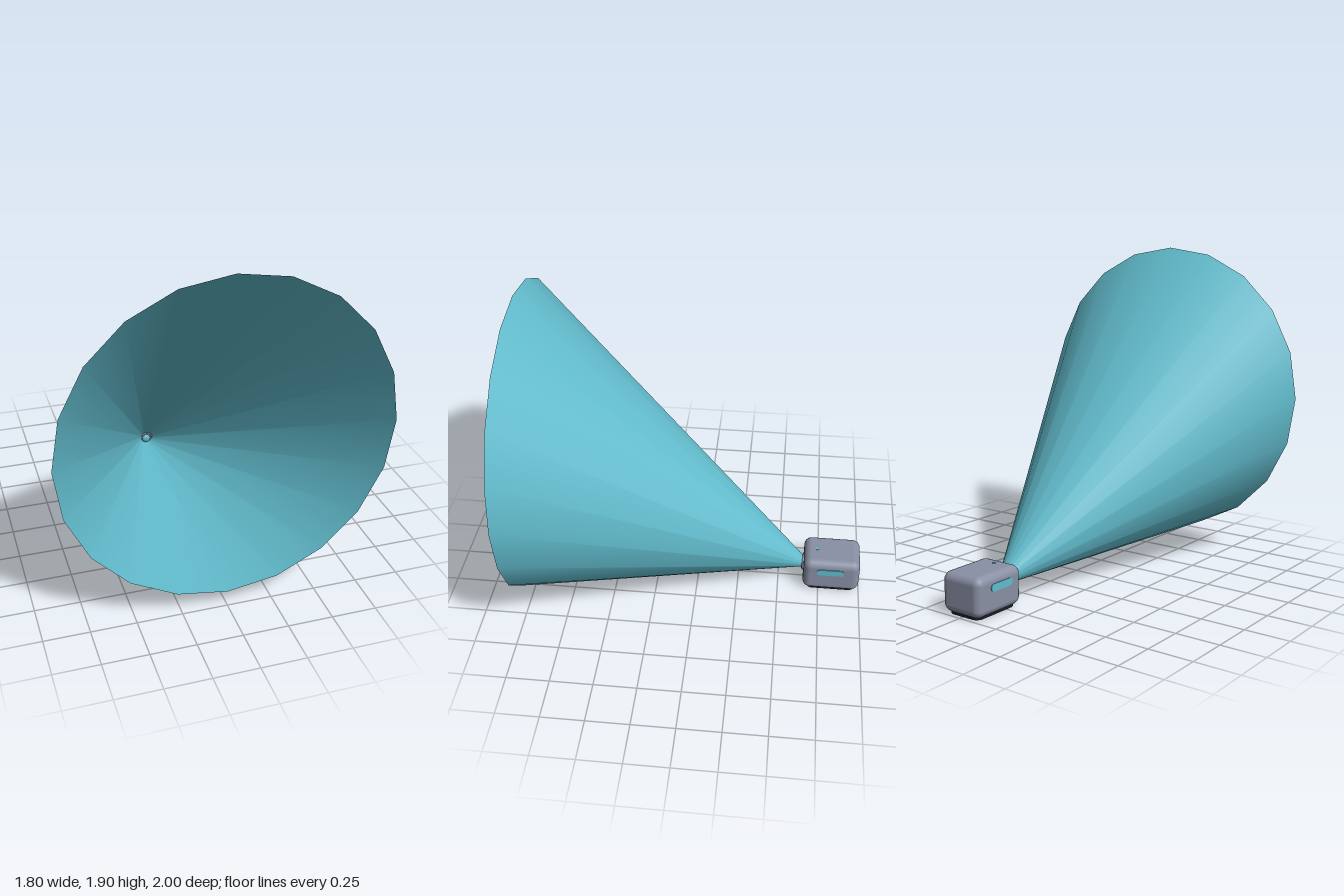
import * as THREE from 'three';
import { RoundedBoxGeometry } from 'three/addons/geometries/RoundedBoxGeometry.js';

const material = (name, color, side = THREE.FrontSide) => {
  const m = new THREE.MeshStandardMaterial({ color, side });
  m.name = name;
  return m;
};

// Rounded rectangle centred on the origin
function roundedRect(w, h, r) {
  const s = new THREE.Shape();
  const x = w / 2 - r, y = h / 2 - r;
  s.absarc(x, y, r, 0, Math.PI / 2);
  s.absarc(-x, y, r, Math.PI / 2, Math.PI);
  s.absarc(-x, -y, r, Math.PI, Math.PI * 1.5);
  s.absarc(x, -y, r, Math.PI * 1.5, Math.PI * 2);
  return s;
}

export function createModel() {
  const group = new THREE.Group();
  const grey = material('casing grey', 0x8a90a5);
  const dark = material('base dark', 0x1c1f28);
  const teal = material('light teal', 0x62bccd, THREE.DoubleSide);

  const add = (name, geometry, mat, x = 0, y = 0, z = 0) => {
    const mesh = new THREE.Mesh(geometry, mat);
    mesh.name = name;
    mesh.position.set(x, y, z);
    group.add(mesh);
    return mesh;
  };

  // Casing: a rounded box, slightly narrower towards the bottom and top
  const casing = new RoundedBoxGeometry(0.27, 0.222, 0.345, 6, 0.045);
  const p = casing.attributes.position;
  for (let i = 0; i < p.count; i++) {
    const t = p.getY(i) / 0.111;
    const k = 1 - (t < 0 ? 0.07 : 0.04) * t * t;
    p.setX(i, p.getX(i) * k);
    p.setZ(i, p.getZ(i) * (1 - 0.02 * t * t));
  }
  add('casing', casing, grey, 0, 0.119, -0.825);

  // Base plate under the casing
  const base = new THREE.ExtrudeGeometry(roundedRect(0.21, 0.3, 0.04), { depth: 0.014, bevelEnabled: false });
  base.rotateX(-Math.PI / 2);
  add('basePlate', base, dark, 0, 0, -0.825);

  // Light strips on both sides
  const strip = new THREE.ExtrudeGeometry(roundedRect(0.165, 0.042, 0.019), { depth: 0.006, bevelEnabled: false });
  strip.rotateY(Math.PI / 2);
  for (const s of [1, -1]) {
    add(s > 0 ? 'leftLightStrip' : 'rightLightStrip', strip, teal, s > 0 ? 0.131 : -0.137, 0.161, -0.818);
  }

  // Status light on the top
  add('statusLight', new THREE.CylinderGeometry(0.011, 0.011, 0.006, 16), teal, 0, 0.23, -0.73);

  // Lens ring and lens
  add('lensRing', new THREE.TorusGeometry(0.042, 0.009, 8, 28), grey, 0, 0.118, -0.651);
  const lens = new THREE.SphereGeometry(0.026, 20, 8, 0, Math.PI * 2, 0, Math.PI / 2);
  lens.rotateX(Math.PI / 2);
  lens.scale(1, 1, 0.5);
  add('lens', lens, teal, 0, 0.118, -0.652);

  // Light beam: an open cone sheared upwards towards the front
  const beam = new THREE.CylinderGeometry(0.902, 0.035, 1.65, 20, 1, true);
  beam.rotateX(Math.PI / 2);
  const rise = (0.993 - 0.124) / 1.65;
  beam.applyMatrix4(new THREE.Matrix4().set(
    1, 0, 0, 0,
    0, 1, rise, 0,
    0, 0, 1, 0,
    0, 0, 0, 1));
  add('lightBeam', beam, teal, 0, (0.993 + 0.124) / 2, 0.175);

  return group;
}
